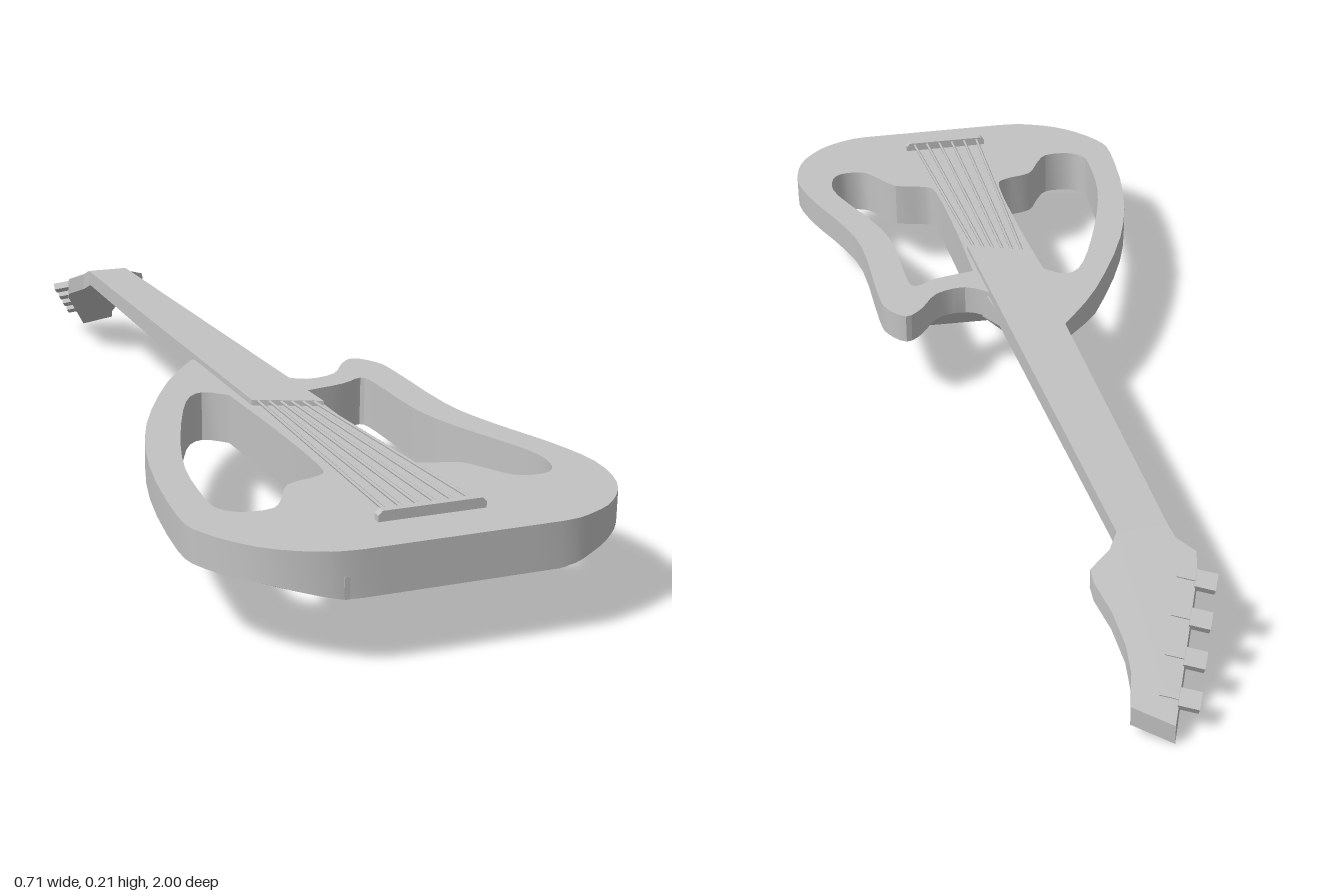
import * as THREE from 'three';
import { toCreasedNormals } from 'three/addons/utils/BufferGeometryUtils.js';
import { ConvexGeometry } from 'three/addons/geometries/ConvexGeometry.js';

const grey = new THREE.MeshStandardMaterial({ color: 0xc2c2c2 });
grey.name = 'grey';

const clamp = THREE.MathUtils.clamp;
const vec2 = (pts) => pts.map(([x, z]) => new THREE.Vector2(x, -z));

// Smooth [x, z] contour through a few points
function smooth(pts, closed) {
  const list = closed ? [...pts, pts[0]] : pts;
  const curve = new THREE.SplineCurve(list.map(([x, z]) => new THREE.Vector2(x, z)));
  const out = curve.getPoints((list.length - 1) * 3).map((p) => [p.x, Math.min(p.y, 1)]);
  if (closed) out.pop();
  return out;
}

// Flat plan shape in x/z with its upper and lower heights given by rules
function plate(outline, holes, top, bottom) {
  const shape = new THREE.Shape(vec2(outline));
  shape.holes = holes.map((h) => new THREE.Path(vec2(h)));
  const g = new THREE.ExtrudeGeometry(shape, { depth: 1, bevelEnabled: false });
  g.rotateX(-Math.PI / 2);
  const p = g.attributes.position;
  for (let i = 0; i < p.count; i++) {
    const x = p.getX(i), z = p.getZ(i);
    p.setY(i, p.getY(i) > 0.5 ? top(x, z) : bottom(x, z));
  }
  g.computeVertexNormals();
  return toCreasedNormals(g, 0.45);
}

// Convex block from points mirrored across x = 0
function mirroredHull(pts) {
  return new ConvexGeometry(pts.flatMap(([x, y, z]) => x === 0
    ? [new THREE.Vector3(0, y, z)]
    : [new THREE.Vector3(x, y, z), new THREE.Vector3(-x, y, z)]));
}

export function createModel() {
  const group = new THREE.Group();
  const add = (name, geometry, parent = group) => {
    const mesh = new THREE.Mesh(geometry, grey);
    mesh.name = name;
    parent.add(mesh);
    return mesh;
  };

  // Body with two large cut-outs; underside is chamfered from rim to cut-outs
  const rim = smooth([
    [-0.055, 0], [-0.15, 0.13], [-0.26, 0.345], [-0.325, 0.555], [-0.357, 0.78], [-0.345, 0.86],
    [-0.29, 0.94], [-0.22, 0.985], [-0.15, 1], [0, 1], [0.17, 1], [0.23, 0.985], [0.285, 0.95],
    [0.335, 0.88], [0.355, 0.78], [0.335, 0.67], [0.295, 0.545], [0.27, 0.42], [0.272, 0.2],
    [0.265, 0.14], [0.235, 0.1], [0.2, 0.125], [0.16, 0.18], [0.1, 0.195], [0.055, 0.16],
  ]);
  const leftCut = smooth([
    [-0.07, 0.24], [-0.11, 0.207], [-0.155, 0.25], [-0.225, 0.42], [-0.275, 0.585], [-0.293, 0.73],
    [-0.288, 0.775], [-0.26, 0.8], [-0.21, 0.8], [-0.18, 0.76], [-0.15, 0.71], [-0.09, 0.69],
    [-0.07, 0.65], [-0.066, 0.45],
  ], true);
  const rightCut = smooth([
    [0.07, 0.262], [0.15, 0.245], [0.195, 0.222], [0.205, 0.265], [0.205, 0.42], [0.225, 0.53],
    [0.28, 0.69], [0.283, 0.76], [0.26, 0.8], [0.21, 0.8], [0.18, 0.76], [0.15, 0.71],
    [0.09, 0.69], [0.07, 0.65], [0.066, 0.45],
  ], true);
  const underside = (x, z) => {
    if (!rim.some(([a, b]) => Math.hypot(a - x, b - z) < 1e-4)) return 0.1;
    if (z > 0.9) return 0.115 + 0.02 * clamp((Math.abs(x) - 0.18) / 0.1, 0, 1);
    return x < 0 && z < 0.13 ? 0.155 - 0.02 * clamp(z / 0.13, 0, 1) : 0.135;
  };
  add('body', plate(rim, [leftCut, rightCut], () => 0.19, underside));

  // Ridged back of the body: a central beam and a wider tail
  add('backRidge', mirroredHull([
    [0.05, 0.18, 0.01], [0.03, 0.157, 0], [0.066, 0.18, 0.22], [0.066, 0.18, 0.8],
    [0, 0.155, 0], [0, 0.098, 0.2], [0.066, 0.108, 0.23], [0.066, 0.09, 0.8], [0, 0.076, 0.8],
  ]));
  add('tailRidge', mirroredHull([
    [0, 0.076, 0.8], [0.18, 0.115, 0.998], [0.18, 0.103, 0.77], [0.08, 0.1, 0.7],
    [0.18, 0.15, 0.998], [0.18, 0.15, 0.77], [0.08, 0.15, 0.7],
  ]));

  // Neck with a slanted fingerboard end
  add('neck', plate(
    [[-0.043, -0.715], [-0.054, 0.31], [0.062, 0.36], [0.042, -0.715]], [],
    () => 0.2, (x, z) => (z > 0 ? 0.157 : 0.157 - 0.018 * z)));

  // Headstock, sloping back and down
  const slope = (z) => 0.2 + (z + 0.715) * 0.58;
  add('headstock', plate([
    [-0.043, -0.715], [0.042, -0.715], [0.06, -0.74], [0.098, -0.765], [0.097, -0.785],
    [0.08, -0.83], [0.071, -0.88], [0.073, -0.92], [0.086, -0.965], [0.025, -1],
    [-0.07, -0.79], [-0.077, -0.76], [-0.05, -0.735],
  ], [], (x, z) => slope(z), (x, z) => slope(z) - 0.034));

  // Tuning pegs along the headstock edge
  const pegs = new THREE.Group();
  pegs.name = 'tuningPegs';
  group.add(pegs);
  for (let i = 0; i < 4; i++) {
    const z = -0.8 - i * 0.054;
    const x = -0.07 - (z + 0.79) * 0.452;
    const peg = new THREE.Group();
    peg.name = 'tuningPeg';
    peg.position.set(x, slope(z) - 0.002, z);
    peg.rotation.set(-Math.atan(0.58), -0.4, 0, 'XYZ');
    add('pegButton', new THREE.BoxGeometry(0.034, 0.014, 0.03), peg).position.x = -0.015;
    add('pegShaft', new THREE.BoxGeometry(0.04, 0.008, 0.008), peg).position.x = 0.012;
    pegs.add(peg);
  }

  // Bridge bar with softened upper ends
  const bar = new THREE.Shape(vec2([
    [-0.088, -0.188], [0.091, -0.188], [0.091, -0.2], [0.084, -0.207], [-0.081, -0.207], [-0.088, -0.2],
  ]));
  const bridge = new THREE.ExtrudeGeometry(bar, { depth: 0.014, bevelEnabled: false });
  add('bridge', bridge).position.z = 0.896;

  // Six strings fanning from the fingerboard to the bridge
  for (let i = 0; i < 6; i++) {
    const t = i / 5;
    const from = new THREE.Vector3(-0.042 + 0.09 * t, 0.197, 0.3 + 0.05 * t);
    const to = new THREE.Vector3(-0.071 + 0.144 * t, 0.202, 0.903);
    const string = add('string', new THREE.CylinderGeometry(0.003, 0.003, from.distanceTo(to), 6));
    string.position.copy(from).lerp(to, 0.5);
    string.quaternion.setFromUnitVectors(new THREE.Vector3(0, 1, 0), to.sub(from).normalize());
  }
  return group;
}
